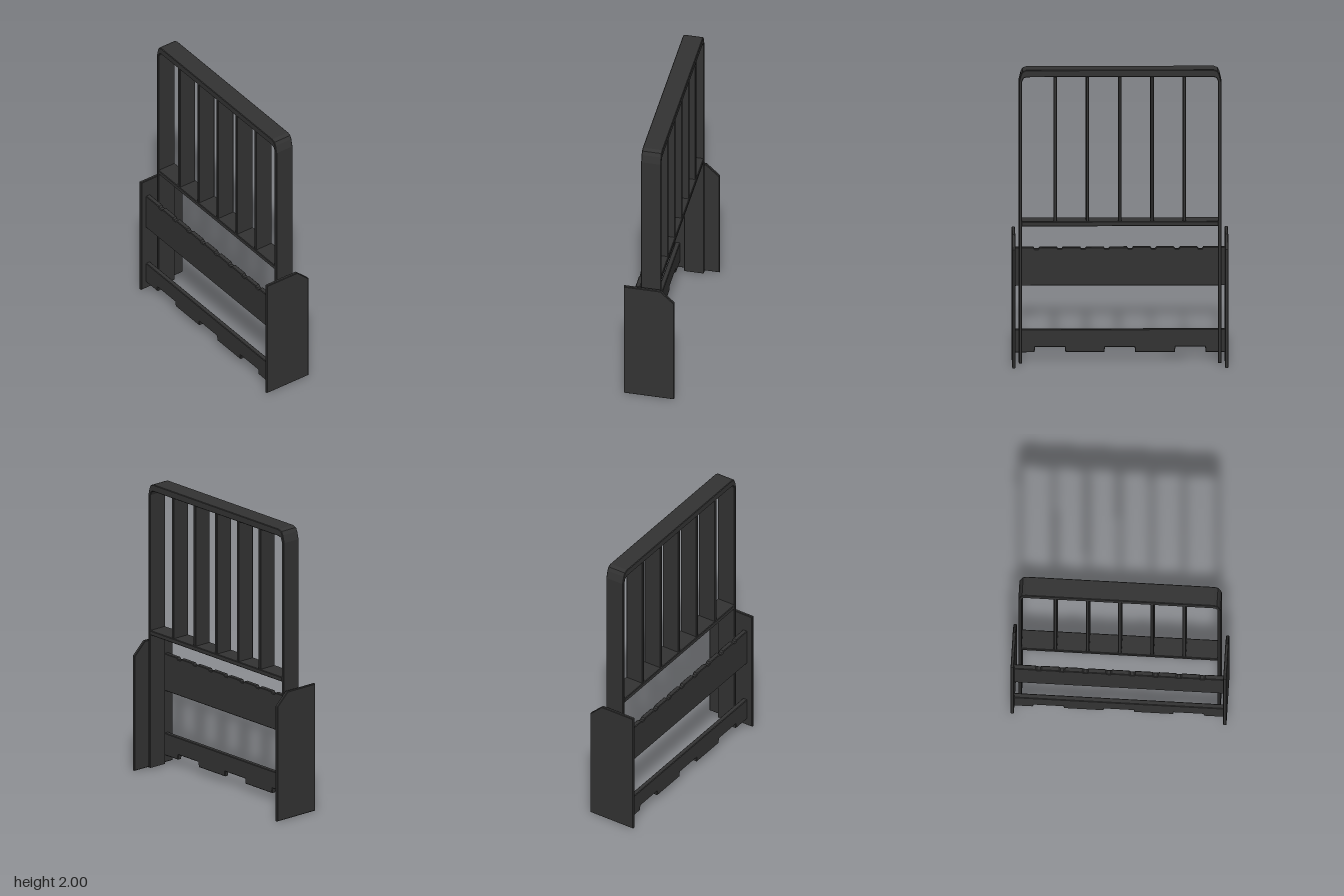
import * as THREE from 'three';

const steel = new THREE.MeshStandardMaterial({ color: 0x333333 });
steel.name = 'charcoalSteel';

// Plate cut from an outline, with thin bevelled edges; spans z0..z1
function plate(name, shape, z0, z1, bevel = 0.004) {
  const geo = new THREE.ExtrudeGeometry(shape, {
    depth: z1 - z0 - 2 * bevel, bevelEnabled: true, bevelThickness: bevel,
    bevelSize: bevel, bevelOffset: -bevel, bevelSegments: 1, curveSegments: 6,
  });
  geo.translate(0, 0, z0 + bevel);
  const mesh = new THREE.Mesh(geo, steel);
  mesh.name = name;
  return mesh;
}

const outline = (pts) => new THREE.Shape(pts.map(([x, y]) => new THREE.Vector2(x, y)));
const rect = (x0, y0, x1, y1) => outline([[x0, y0], [x1, y0], [x1, y1], [x0, y1]]);

export function createModel() {
  const model = new THREE.Group();
  model.name = 'rackFrame';
  const back = -0.073, front = 0.062;

  // Tall hoop: two flat posts joined by a top rail with rounded corners
  const right = [[0.67, 0.015], [0.67, 1.915], [0.657, 1.967], [0.645, 1.99], [0.62, 2]];
  const inner = [[0.618, 1.952], [0.638, 1.944], [0.648, 1.92], [0.648, 0.015]];
  const mirror = (pts) => pts.map(([x, y]) => [-x, y]).reverse();
  model.add(plate('hoop', outline([...right, ...mirror(right), ...mirror(inner).map((p) => p), ...inner]), back, front));

  // Lower rail and upright slats
  model.add(plate('lowerRail', rect(-0.652, 0.943, 0.652, 0.975), back, front));
  for (let i = -2; i <= 2; i++) {
    const x = 0.002 + i * 0.2135;
    model.add(plate('slat', rect(x - 0.011, 0.972, x + 0.011, 1.955), back + 0.003, front - 0.003));
  }

  // Side panels with a clipped rear top corner
  for (const side of [-1, 1]) {
    const panel = plate('sidePanel', outline([
      [-0.17, 0.005], [0.17, 0.005], [0.17, 0.805], [0.078, 0.892], [-0.17, 0.892],
    ]), -0.011, 0.011);
    panel.rotation.y = Math.PI / 2;
    panel.position.x = side * 0.704;
    model.add(panel);
  }

  // Upper cross panel with shallow scallops along its top edge
  const upper = new THREE.Shape();
  upper.moveTo(-0.696, 0.505);
  upper.lineTo(0.696, 0.505);
  upper.lineTo(0.696, 0.765);
  for (let i = 7; i >= 0; i--) {
    const x = 0.01 + (i - 3.5) * 0.1548;
    upper.lineTo(x + 0.021, 0.765);
    upper.lineTo(x + 0.011, 0.753);
    upper.lineTo(x - 0.011, 0.753);
    upper.lineTo(x - 0.021, 0.765);
  }
  upper.lineTo(-0.696, 0.765);
  model.add(plate('upperCrossPanel', upper, 0.098, 0.131));

  // Lower cross panel with three cut-outs along its bottom edge
  const lower = new THREE.Shape();
  lower.moveTo(-0.696, 0.055);
  for (const x of [-0.466, 0, 0.462]) {
    lower.lineTo(x - 0.102, 0.055);
    lower.lineTo(x - 0.098, 0.09);
    lower.lineTo(x + 0.098, 0.09);
    lower.lineTo(x + 0.102, 0.055);
  }
  lower.lineTo(0.696, 0.055);
  lower.lineTo(0.696, 0.21);
  lower.lineTo(-0.696, 0.21);
  model.add(plate('lowerCrossPanel', lower, 0.098, 0.131));

  return model;
}
